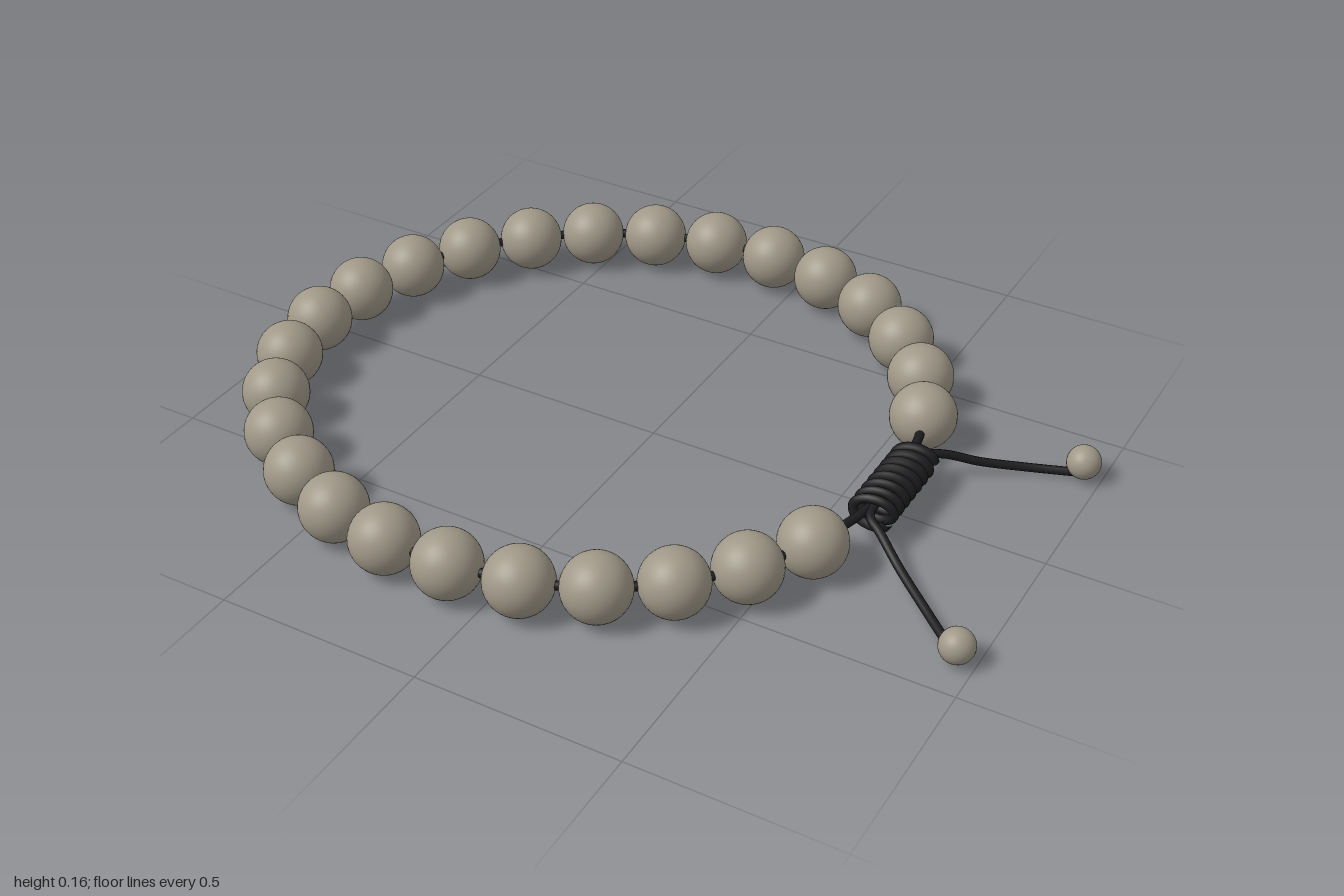
import * as THREE from 'three';

export function createModel() {
  const model = new THREE.Group();
  model.name = 'beadBracelet';
  const stone = new THREE.MeshStandardMaterial({ color: 0xa09888 });
  stone.name = 'greyStone';
  const black = new THREE.MeshStandardMaterial({ color: 0x1c1c1e });
  black.name = 'blackCord';

  const add = (name, geometry, material, position) => {
    const mesh = new THREE.Mesh(geometry, material);
    mesh.name = name;
    if (position) mesh.position.copy(position);
    model.add(mesh);
    return mesh;
  };

  // Bead centres [x, z] around the slightly irregular loop
  const beadY = 0.082;
  const centres = [
    [0.574, -0.28], [0.5, -0.43], [0.39, -0.558], [0.256, -0.66], [0.1, -0.724],
    [-0.064, -0.75], [-0.23, -0.74], [-0.39, -0.694], [-0.54, -0.62], [-0.67, -0.515],
    [-0.783, -0.39], [-0.863, -0.243], [-0.913, -0.083], [-0.921, 0.083], [-0.889, 0.248],
    [-0.815, 0.398], [-0.708, 0.526], [-0.574, 0.625], [-0.422, 0.697], [-0.259, 0.734],
    [-0.091, 0.737], [0.075, 0.71], [0.23, 0.646], [0.366, 0.55], [0.478, 0.427], [0.561, 0.28],
  ].map(([x, z]) => new THREE.Vector3(x, beadY, z));

  const beadGeometry = new THREE.SphereGeometry(0.081, 40, 28);
  centres.forEach((c) => add('bead', beadGeometry, stone, c));

  // Cord threaded through all beads and the knot
  const ring = new THREE.CatmullRomCurve3([
    ...centres,
    new THREE.Vector3(0.592, 0.083, 0.2),
    new THREE.Vector3(0.61, 0.08, 0.12),
    new THREE.Vector3(0.622, 0.077, 0),
    new THREE.Vector3(0.61, 0.08, -0.12),
    new THREE.Vector3(0.602, 0.083, -0.19),
  ], true);
  add('loopCord', new THREE.TubeGeometry(ring, 300, 0.011, 10, true), black);

  // Sliding knot: a cord wound in an oval coil
  const turns = 8, steps = turns * 12;
  const coil = [];
  for (let i = 0; i <= steps; i++) {
    const t = i / steps, a = t * turns * Math.PI * 2;
    coil.push(new THREE.Vector3(
      0.624 + 0.047 * Math.cos(a), 0.076 + 0.031 * Math.sin(a), -0.128 + 0.256 * t));
  }
  add('knotCoil', new THREE.TubeGeometry(new THREE.CatmullRomCurve3(coil), 480, 0.0115, 8), black);

  // Loose tails, each ending in a small bead
  const endGeometry = new THREE.SphereGeometry(0.041, 32, 20);
  const tails = [
    [[0.624, 0.078, 0], [0.628, 0.08, -0.13], [0.67, 0.068, -0.18], [0.74, 0.037, -0.235],
      [0.84, 0.018, -0.295], [0.956, 0.016, -0.34]],
    [[0.624, 0.078, 0], [0.628, 0.08, 0.13], [0.67, 0.07, 0.165], [0.74, 0.037, 0.215],
      [0.84, 0.018, 0.295], [0.956, 0.016, 0.4]],
  ];
  for (const points of tails) {
    const path = new THREE.CatmullRomCurve3(points.map((p) => new THREE.Vector3(...p)));
    add('tailCord', new THREE.TubeGeometry(path, 60, 0.0105, 10), black);
    const end = path.getPoint(1);
    add('endBead', endGeometry, stone, new THREE.Vector3(end.x, 0.047, end.z));
  }

  return model;
}
